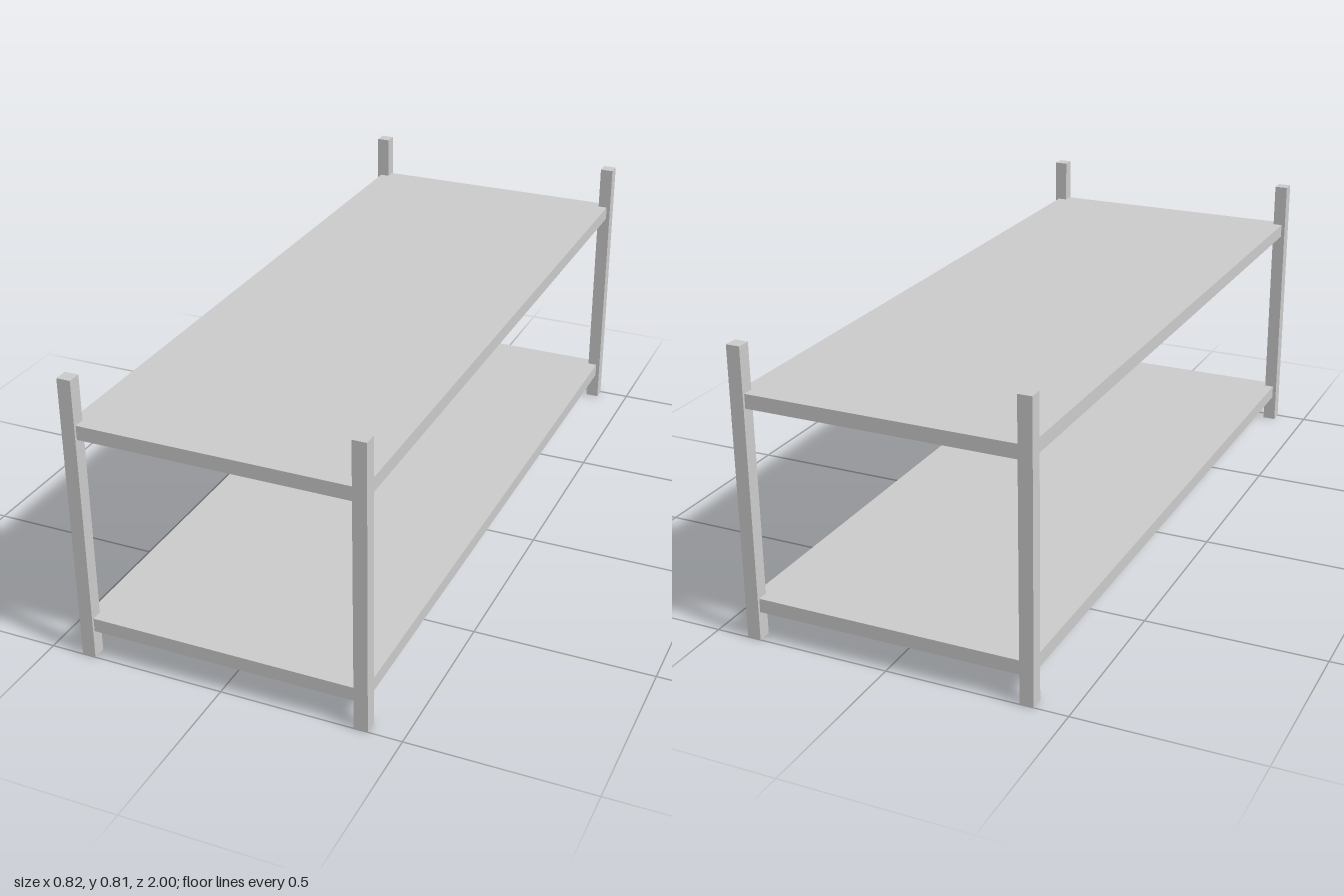
import * as THREE from 'three';

export function createModel() {
  const group = new THREE.Group();
  const material = new THREE.MeshStandardMaterial({ color: 0xcccccc, flatShading: true });

  const addBox = (name, [w, h, d], [x, y, z]) => {
    const mesh = new THREE.Mesh(new THREE.BoxGeometry(w, h, d), material);
    mesh.name = name;
    mesh.position.set(x, y, z);
    group.add(mesh);
  };

  // Four square corner posts
  const post = 0.038, height = 0.81, halfWidth = 0.408, halfDepth = 1;
  for (const [side, sx] of [['Left', 1], ['Right', -1]]) {
    for (const [end, sz] of [['front', 1], ['back', -1]]) {
      addBox(`${end}${side}Post`, [post, height, post],
        [sx * (halfWidth - post / 2), height / 2, sz * (halfDepth - post / 2)]);
    }
  }

  // Two shelves, set slightly in from the outer post faces
  const thickness = 0.039;
  for (const [name, y] of [['lowerShelf', 0.098], ['upperShelf', 0.665]]) {
    addBox(name, [0.794, thickness, 1.986], [0, y, 0]);
  }

  return group;
}
